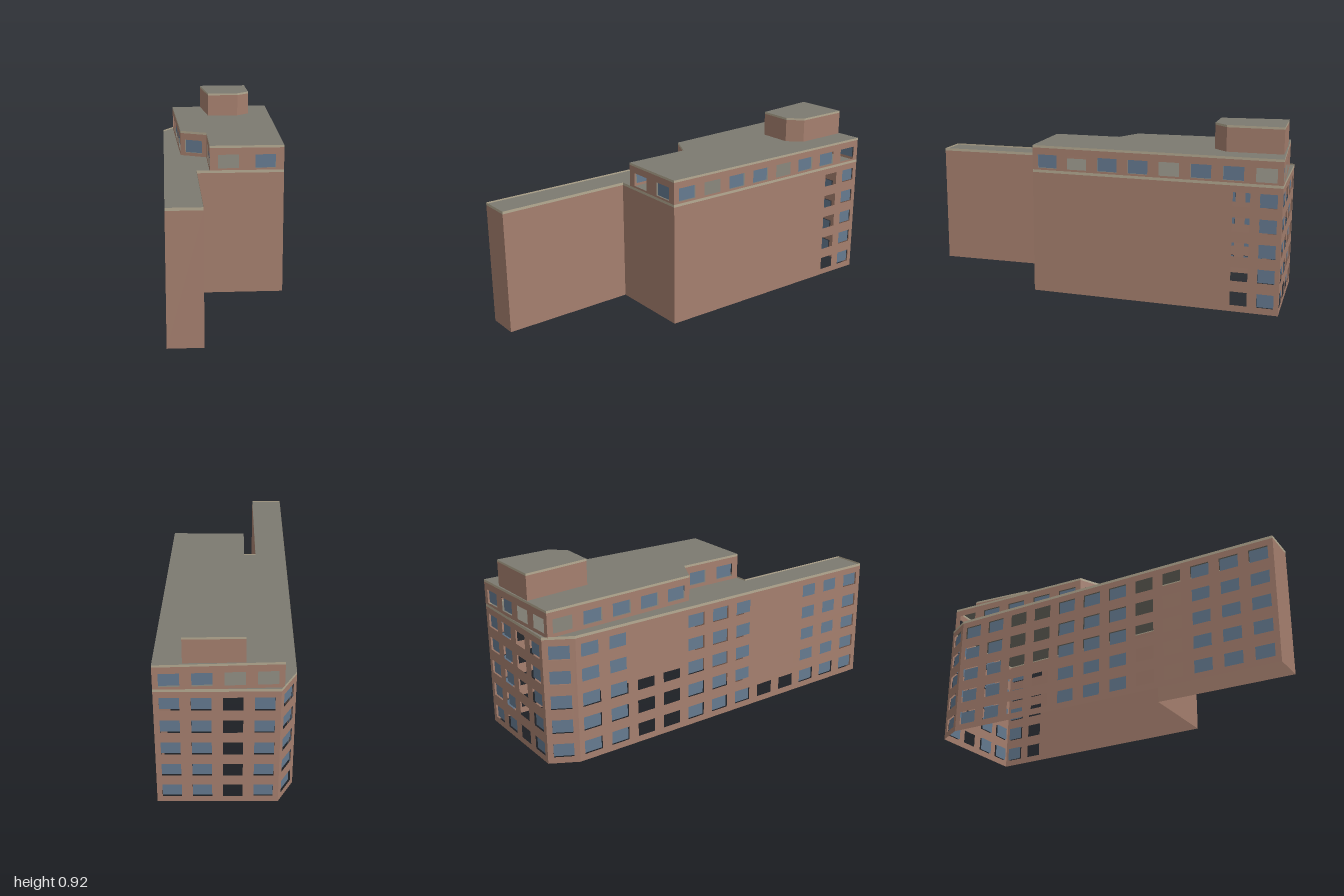
import * as THREE from 'three';

const mat = (name, color) => {
  const m = new THREE.MeshStandardMaterial({ color, side: THREE.DoubleSide });
  m.name = name;
  return m;
};

export function createModel() {
  const brick = mat('brick', 0xa57f6e);
  const glass = mat('glass', 0x657a90);
  const roofing = mat('roofing', 0x7c7a70);
  const stone = mat('stone', 0xb5aa92);
  const model = new THREE.Group();
  model.name = 'building';

  const add = (parent, name, geometry, material) => {
    const mesh = new THREE.Mesh(geometry, material);
    mesh.name = name;
    parent.add(mesh);
    return mesh;
  };

  // Thin wall from a to b with a grid of window openings and set-back panes
  function wall(parent, a, b, y0, y1, { cols = 0, rows = [], open = [] } = {}) {
    const dx = b[0] - a[0], dz = b[1] - a[1], len = Math.hypot(dx, dz);
    const g = new THREE.Group();
    g.name = 'wallSection';
    g.position.set(a[0], 0, a[1]);
    g.rotation.y = Math.atan2(-dz, dx);
    parent.add(g);
    const shape = new THREE.Shape([
      new THREE.Vector2(0, y0), new THREE.Vector2(len, y0),
      new THREE.Vector2(len, y1), new THREE.Vector2(0, y1),
    ]);
    const pitch = len / cols, w = Math.min(0.105, pitch * 0.64), h = 0.07;
    for (let i = 0; i < cols; i++) {
      const u = (i + 0.5) * pitch;
      for (const y of rows) {
        shape.holes.push(new THREE.Path([
          new THREE.Vector2(u - w / 2, y - h / 2), new THREE.Vector2(u - w / 2, y + h / 2),
          new THREE.Vector2(u + w / 2, y + h / 2), new THREE.Vector2(u + w / 2, y - h / 2),
        ]));
        if (!open.includes(i)) {
          add(g, 'windowPane', new THREE.PlaneGeometry(w, h), glass).position.set(u, y, -0.01);
        }
      }
    }
    add(g, 'wall', new THREE.ShapeGeometry(shape), brick);
    return g;
  }

  // Stone band running round the top of a footprint
  function band(parent, pts, y0, y1) {
    pts.forEach((a, i) => {
      const b = pts[(i + 1) % pts.length];
      const strip = new THREE.PlaneGeometry(Math.hypot(b[0] - a[0], b[1] - a[1]), y1 - y0);
      const m = add(parent, 'roofBand', strip, stone);
      m.position.set((a[0] + b[0]) / 2, (y0 + y1) / 2, (a[1] + b[1]) / 2);
      m.rotation.y = Math.atan2(a[1] - b[1], b[0] - a[0]);
    });
  }

  function roof(parent, pts, y) {
    const shape = new THREE.Shape(pts.map(([x, z]) => new THREE.Vector2(x, -z)));
    add(parent, 'roof', new THREE.ShapeGeometry(shape).rotateX(-Math.PI / 2), roofing).position.y = y;
  }

  // One storey block: footprint, wall options for each side, band and roof
  function block(name, pts, sides, y0, yBand, yTop, yRoof) {
    const g = new THREE.Group();
    g.name = name;
    model.add(g);
    pts.forEach((a, i) => {
      const s = sides[i] || {};
      wall(g, a, pts[(i + 1) % pts.length], s.base ?? y0, yBand, s);
    });
    band(g, pts, yBand, yTop);
    roof(g, pts, yRoof);
  }

  // Main five-storey block with the narrow front wing
  const floors = [0, 1, 2, 3, 4].map((i) => 0.068 + i * 0.1263);
  block('mainBlock', [
    [-0.325, 1], [-0.155, 1], [-0.16, 0.287], [0.286, 0.287], [0.314, -0.735],
    [0.322, -1], [-0.25, -0.995], [-0.325, -0.86],
  ], [
    {}, {}, {}, {},
    { cols: 2, rows: floors, open: [0] },
    { cols: 4, rows: floors, open: [2] },
    { cols: 1, rows: floors },
    { cols: 12, rows: floors, open: [2, 3, 7, 8] },
  ], 0, 0.641, 0.655, 0.647);

  // Set-back top storey
  const attic = [0.7], base = 0.647;
  block('topStorey', [
    [-0.093, 0.287], [0.286, 0.287], [0.322, -1], [-0.265, -0.97],
    [-0.232, -0.14], [-0.093, -0.07],
  ], [
    { cols: 2, rows: attic, open: [0] },
    { cols: 8, rows: attic, open: [1, 4, 7] },
    { cols: 4, rows: attic, open: [2, 3], base },
    { cols: 5, rows: attic, open: [0], base },
    { cols: 1, rows: attic, base },
    { cols: 2, rows: attic, base },
  ], 0.655, 0.77, 0.782, 0.782);

  // Roof penthouse
  block('penthouse', [
    [-0.057, -0.63], [0.118, -0.63], [0.188, -0.7], [0.188, -0.983], [-0.092, -0.975],
  ], [], 0.782, 0.904, 0.915, 0.915);

  return model;
}
